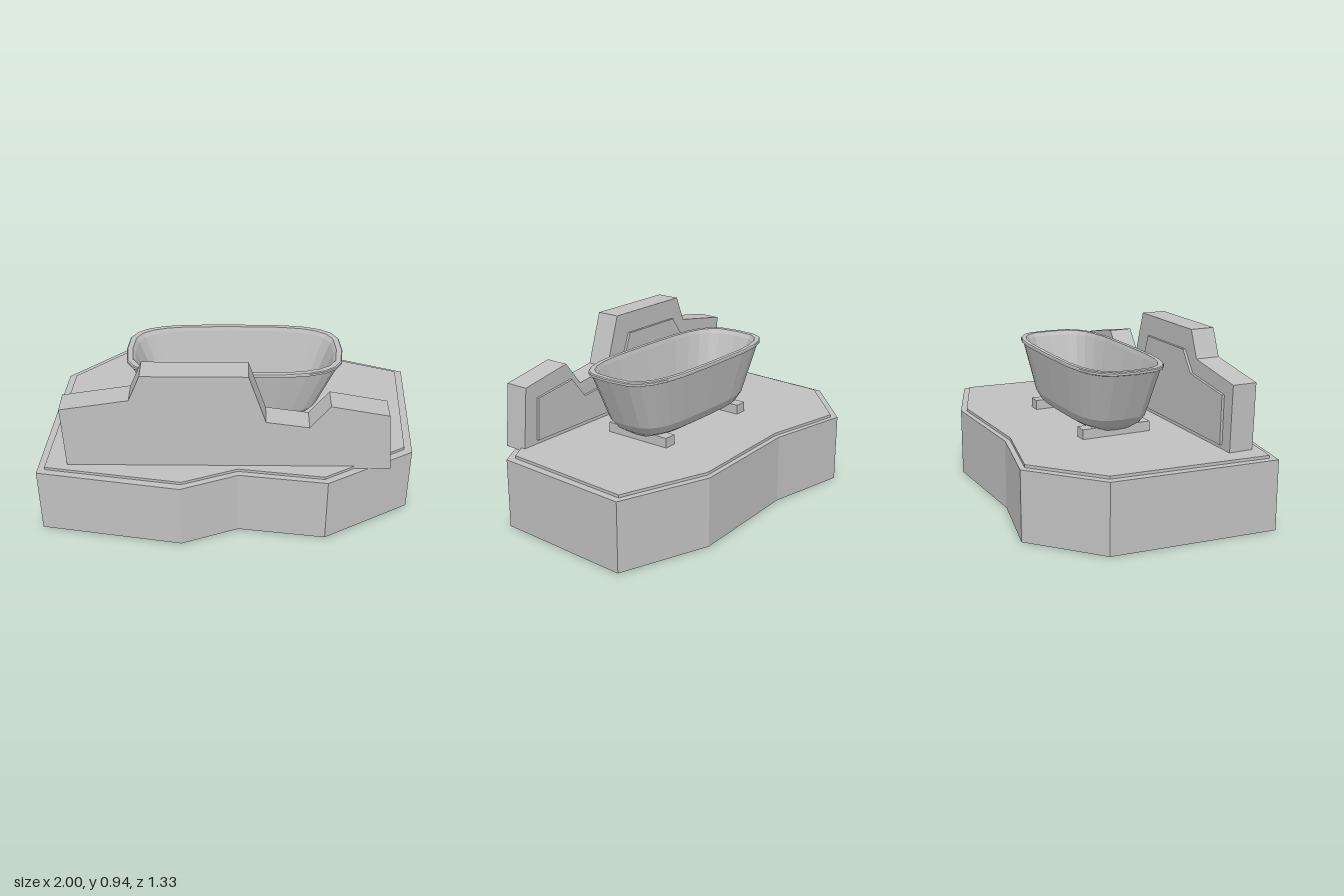
import * as THREE from 'three';

const stone = new THREE.MeshStandardMaterial({ color: 0xc0c0c0, flatShading: true });
stone.name = 'plain grey';

function mesh(name, geometry) {
  const m = new THREE.Mesh(geometry, stone);
  m.name = name;
  return m;
}

// Prism from an outline in (x, y), extruded along z between z0 and z1
function upright(name, pts, z0, z1) {
  const shape = new THREE.Shape(pts.map(([x, y]) => new THREE.Vector2(x, y)));
  const g = new THREE.ExtrudeGeometry(shape, { depth: z1 - z0, bevelEnabled: false });
  return mesh(name, g.translate(0, 0, z0));
}

// Prism from an outline in (x, z), extruded upward between y0 and y1
function slab(name, pts, y0, y1) {
  const shape = new THREE.Shape(pts.map(([x, z]) => new THREE.Vector2(x, -z)));
  const g = new THREE.ExtrudeGeometry(shape, { depth: y1 - y0, bevelEnabled: false });
  return mesh(name, g.rotateX(-Math.PI / 2).translate(0, y0, 0));
}

// Loft of rounded-rectangle rings, each given as [half x, half z, y]
function loft(rings, segments, power) {
  const pos = [], index = [];
  const round = (v) => Math.sign(v) * Math.pow(Math.abs(v), 2 / power);
  for (const [a, b, y] of rings) {
    for (let i = 0; i < segments; i++) {
      const t = (i / segments) * Math.PI * 2;
      pos.push(a * round(Math.cos(t)), y, b * round(Math.sin(t)));
    }
  }
  for (let r = 0; r < rings.length - 1; r++) {
    for (let i = 0; i < segments; i++) {
      const j = (i + 1) % segments;
      const a = r * segments + i, b = r * segments + j;
      const c = a + segments, d = b + segments;
      if (rings[r][0] > 0) index.push(a, c, b);
      if (rings[r + 1][0] > 0) index.push(b, c, d);
    }
  }
  const g = new THREE.BufferGeometry();
  g.setAttribute('position', new THREE.Float32BufferAttribute(pos, 3));
  g.setIndex(index);
  const flat = g.toNonIndexed();
  flat.computeVertexNormals();
  return flat;
}

export function createModel() {
  const model = new THREE.Group();
  model.name = 'bathtub on stone base';

  // Irregular base with a thin inset floor on top
  model.add(slab('base', [
    [-1, 0.537], [-0.945, -0.355], [-0.605, -0.667], [-0.145, -0.573], [0.515, -0.598],
    [0.997, -0.42], [0.96, 0.345], [0.5, 0.606], [0.042, 0.545], [-0.255, 0.66],
  ], 0, 0.37));
  model.add(slab('floor', [
    [-0.96, 0.508], [-0.905, -0.338], [-0.582, -0.635], [-0.148, -0.545], [0.492, -0.57],
    [0.957, -0.4], [0.92, 0.322], [0.485, 0.574], [0.04, 0.513], [-0.25, 0.622],
  ], 0.37, 0.385));

  // Broken wall and the raised panel on its inner side
  model.add(upright('wall', [
    [-0.845, 0.37], [0.828, 0.37], [0.798, 0.706], [0.502, 0.762], [0.4, 0.631],
    [0.18, 0.663], [0.09, 0.936], [-0.445, 0.936], [-0.505, 0.792], [-0.857, 0.733],
  ], 0.35, 0.483));
  model.add(upright('wallPanel', [
    [-0.775, 0.408], [0.74, 0.408], [0.725, 0.635], [0.475, 0.672], [0.38, 0.555],
    [0.09, 0.585], [0, 0.822], [-0.39, 0.822], [-0.47, 0.71], [-0.78, 0.667],
  ], 0.336, 0.35));

  // Tub: outside upward, over the rim, then down the inside
  const tub = new THREE.Group();
  tub.name = 'bathtub';
  tub.position.set(0.018, 0, -0.022);
  tub.add(mesh('tubShell', loft([
    [0, 0, 0.416], [0.36, 0.125, 0.416], [0.41, 0.176, 0.448], [0.45, 0.199, 0.495],
    [0.562, 0.244, 0.755], [0.577, 0.254, 0.76], [0.577, 0.254, 0.772], [0.572, 0.251, 0.777],
    [0.545, 0.229, 0.777], [0.53, 0.222, 0.755], [0.44, 0.175, 0.51], [0.356, 0.124, 0.45], [0, 0, 0.45],
  ], 24, 3.5)));

  // Two cross bars carry the tub
  for (const side of [-1, 1]) {
    const bar = mesh(side > 0 ? 'leftFootBar' : 'rightFootBar', new THREE.BoxGeometry(0.07, 0.053, 0.388));
    bar.position.set(side * 0.32, 0.4115, 0);
    tub.add(bar);
  }
  model.add(tub);
  return model;
}
